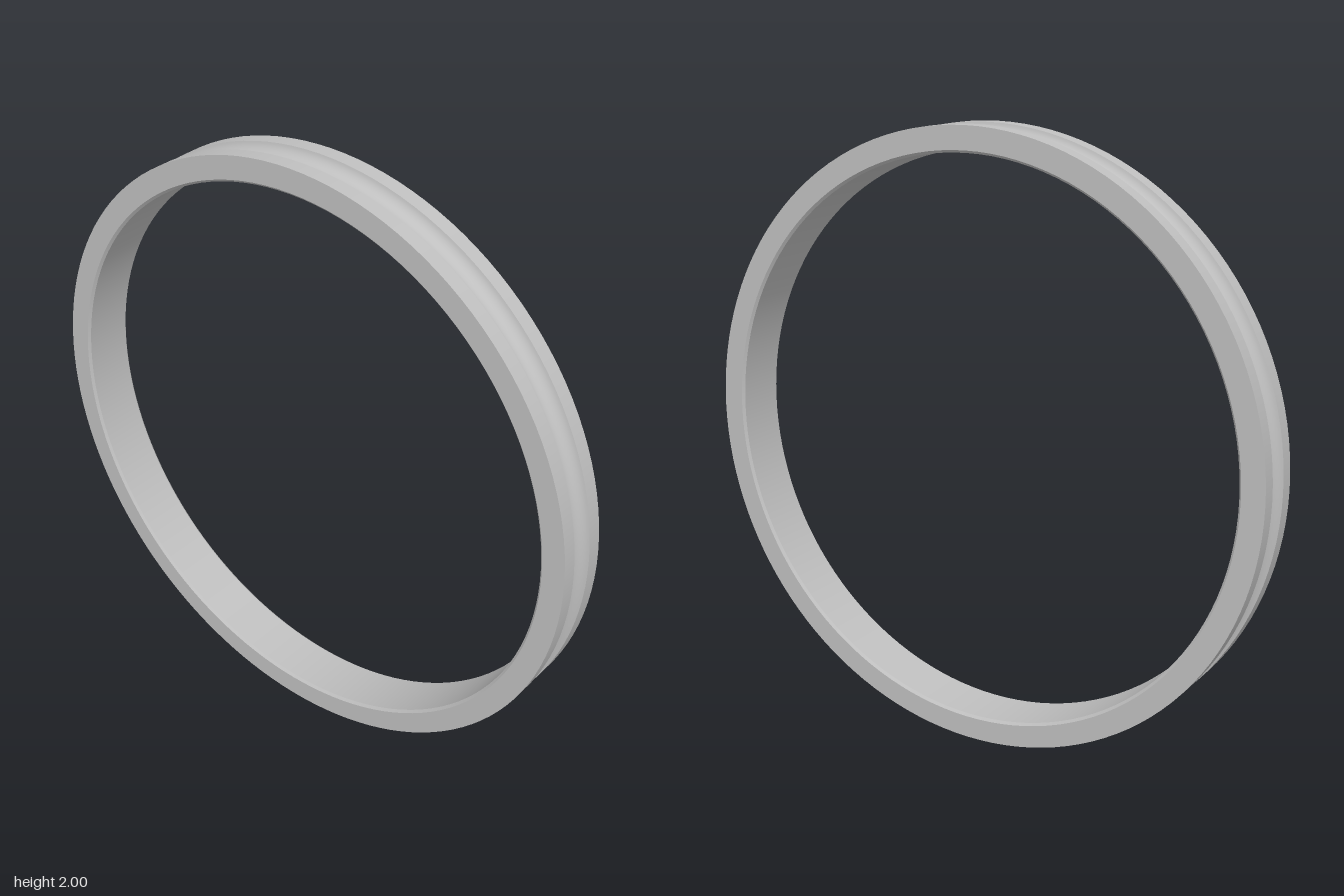
import * as THREE from 'three';

const SEGMENTS = 128;
const HALF = 0.09;        // half width of the ring
const OUTER = 1;
const FACE_INNER = 0.926; // where the flat side meets the chamfer
const BORE = 0.918;
const CHAMFER = 0.008;
const GROOVE = 0.04;      // half width of the groove
const DEPTH = 0.033;

export function createModel() {
  const metal = new THREE.MeshStandardMaterial({ color: 0xbfbfbf });
  metal.name = 'grey metal';

  const ring = new THREE.Group();
  ring.name = 'groovedRing';

  // Each smooth stretch of the section is its own lathe, so the edges between stay sharp
  const turn = (name, pairs) => {
    const points = pairs.map(([r, y]) => new THREE.Vector2(r, y));
    const mesh = new THREE.Mesh(new THREE.LatheGeometry(points, SEGMENTS), metal);
    mesh.name = name;
    ring.add(mesh);
  };

  // Rounded groove: circular arc cut into the rim
  const radius = (GROOVE ** 2 + DEPTH ** 2) / (2 * DEPTH);
  const centre = OUTER - DEPTH + radius;
  const sweep = Math.atan2(GROOVE, centre - OUTER);
  const arc = [];
  for (let i = 0; i <= 20; i++) {
    const a = sweep * (i / 10 - 1);
    arc.push([centre - radius * Math.cos(a), radius * Math.sin(a)]);
  }

  // Section, followed counterclockwise from the back edge
  turn('backRim', [[OUTER, -HALF], [OUTER, -GROOVE]]);
  turn('groove', arc);
  turn('frontRim', [[OUTER, GROOVE], [OUTER, HALF]]);
  turn('frontFace', [[OUTER, HALF], [FACE_INNER, HALF]]);
  turn('frontChamfer', [[FACE_INNER, HALF], [BORE, HALF - CHAMFER]]);
  turn('bore', [[BORE, HALF - CHAMFER], [BORE, CHAMFER - HALF]]);
  turn('backChamfer', [[BORE, CHAMFER - HALF], [FACE_INNER, -HALF]]);
  turn('backFace', [[FACE_INNER, -HALF], [OUTER, -HALF]]);

  // Stand the ring upright with its axis along z
  ring.rotation.x = Math.PI / 2;
  ring.position.y = OUTER;

  const model = new THREE.Group();
  model.name = 'ring';
  model.add(ring);
  return model;
}
